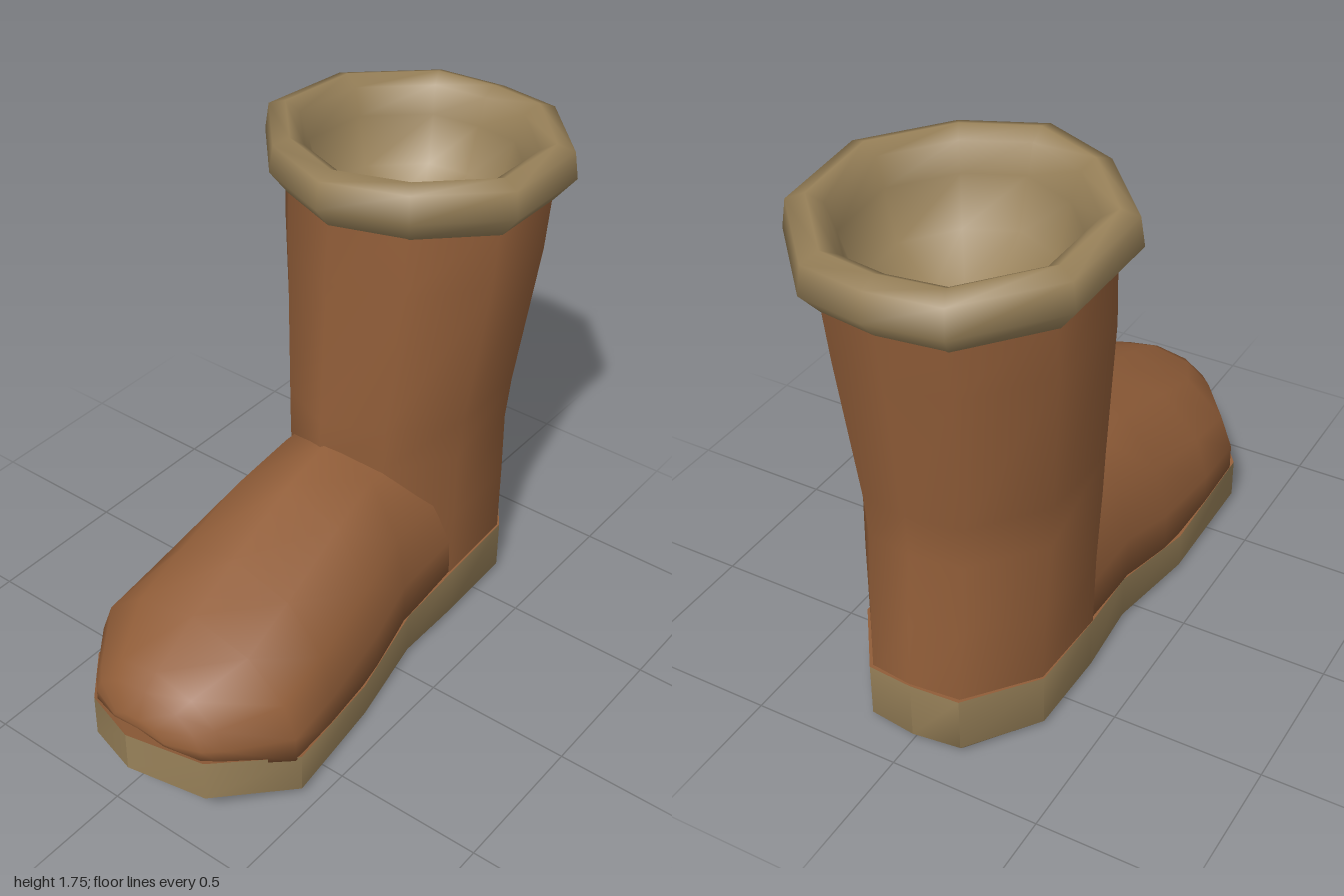
import * as THREE from 'three';
import { toCreasedNormals } from 'three/addons/utils/BufferGeometryUtils.js';

const LEATHER = 0x925e39, FLEECE = 0x988159;

// Joins closed rings of [x, y, z] points; optional centre points close either end.
function loft(rings, startCap, endCap) {
  const n = rings[0].length, pos = rings.flat(2), idx = [];
  for (let i = 0; i < rings.length - 1; i++) {
    for (let j = 0; j < n; j++) {
      const k = (j + 1) % n, a = i * n + j, b = i * n + k;
      idx.push(a, b, b + n, a, b + n, a + n);
    }
  }
  const cap = (first, centre, flip) => {
    const c = pos.length / 3;
    pos.push(...centre);
    for (let j = 0; j < n; j++) {
      const a = first + j, b = first + (j + 1) % n;
      idx.push(...(flip ? [b, a, c] : [a, b, c]));
    }
  };
  if (startCap) cap(0, startCap, true);
  if (endCap) cap((rings.length - 1) * n, endCap, false);
  const g = new THREE.BufferGeometry();
  g.setAttribute('position', new THREE.Float32BufferAttribute(pos, 3));
  g.setIndex(idx);
  g.computeVertexNormals();
  return g;
}

function part(name, geometry, color, side = THREE.FrontSide) {
  const mesh = new THREE.Mesh(geometry, new THREE.MeshStandardMaterial({ color, side }));
  mesh.name = name;
  return mesh;
}

// Ten-sided leg outline, running from the front round by the left side
const half = [[0.53, 0.79], [0.97, 0.3], [0.94, -0.42], [0.46, -0.94]];
const legOutline = [[0, 1], ...half, [0.02, -1], ...half.map(([x, z]) => [-x, z]).reverse()];
const legRing = (y, rx, rz, cz, tilt = 0) =>
  legOutline.map(([x, z]) => [x * rx, y + tilt * z * rz / 0.5, cz + z * rz]);

export function createModel() {
  const boot = new THREE.Group();
  boot.name = 'boot';

  // Sole outline: x, z, top height, bottom height
  const outline = [
    [0.06, 1, 0.31, 0.17], [0.29, 0.91, 0.26, 0.11], [0.45, 0.64, 0.17, 0.03],
    [0.40, 0.25, 0.14, 0.015], [0.335, -0.08, 0.17, 0.02], [0.335, -0.34, 0.195, 0.02],
    [0.325, -0.64, 0.2, 0.02], [0.16, -0.87, 0.215, 0.025], [0, -0.89, 0.225, 0.025],
    [-0.16, -0.87, 0.215, 0.025], [-0.325, -0.64, 0.2, 0.02], [-0.33, -0.34, 0.195, 0.02],
    [-0.31, -0.08, 0.17, 0.02], [-0.36, 0.25, 0.14, 0.015], [-0.36, 0.69, 0.17, 0.03],
    [-0.16, 0.91, 0.26, 0.11],
  ];
  const topEdge = outline.map(([x, z, t]) => [x, t, z]);
  const lowEdge = outline.map(([x, z, , b]) => [x, b, z]);
  const tread = outline.map(([x, z, , b]) => [0.04 + (x - 0.04) * 0.95, Math.max(0, b - 0.025), z * 0.975]);
  const sole = loft([tread, lowEdge, topEdge], [0.04, 0, 0.55]);
  boot.add(part('sole', toCreasedNormals(sole, 0.75), FLEECE));

  // Leather ledge where the upper meets the sole
  boot.add(part('welt', loft([topEdge], null, [0.04, 0.15, 0.5]), LEATHER));

  // Foot: arched sections from the ankle to the toe
  const arch = [[1, 0], [1, 0.25], [0.89, 0.56], [0.55, 0.87], [0, 1]];
  const archLoop = [...arch, ...arch.slice(0, -1).map(([x, y]) => [-x, y]).reverse()];
  const sections = [ // z, right x, left x, base y, top y
    [-0.35, -0.32, 0.325, 0.19, 0.76],
    [-0.05, -0.31, 0.335, 0.17, 0.77],
    [0.16, -0.345, 0.38, 0.14, 0.72],
    [0.45, -0.358, 0.423, 0.14, 0.615],
    [0.66, -0.358, 0.443, 0.165, 0.535],
    [0.85, -0.205, 0.318, 0.225, 0.45],
    [0.905, -0.15, 0.275, 0.255, 0.415],
    [0.945, -0.04, 0.165, 0.28, 0.33],
  ].map(([z, xr, xl, base, top]) => archLoop.map(([x, y]) =>
    [(xl + xr) / 2 + x * (xl - xr) / 2, base + y * (top - base), z]));
  boot.add(part('foot', loft(sections, null, [0.06, 0.3, 0.945]), LEATHER));

  // Shaft from the heel up into the cuff: y, half width, front z, back z, tilt
  const shaft = [
    [0.17, 0.338, -0.03, -0.885, 0],
    [0.45, 0.345, -0.03, -0.87, 0],
    [0.7, 0.355, -0.02, -0.845, 0],
    [0.85, 0.366, -0.025, -0.855, 0],
    [1.35, 0.417, -0.05, -0.92, 0.01],
    [1.56, 0.423, -0.06, -0.945, 0.03],
  ].map(([y, rx, f, b, tilt]) => legRing(y, rx, (f - b) / 2, (f + b) / 2, tilt));
  boot.add(part('shaft', loft(shaft), LEATHER));

  // Rolled cuff continuing into the lining: radius, y
  const cuff = [
    [0.41, 1.53], [0.435, 1.53], [0.5, 1.61], [0.487, 1.70], [0.43, 1.72],
    [0.38, 1.69], [0.35, 1.6], [0.3, 1.44], [0.15, 1.34],
  ].map(([r, y]) => legRing(y, r * 0.99, r, -0.5, 0.03));
  boot.add(part('cuffAndLining', loft(cuff, null, [0, 1.32, -0.5]), FLEECE, THREE.DoubleSide));

  return boot;
}
